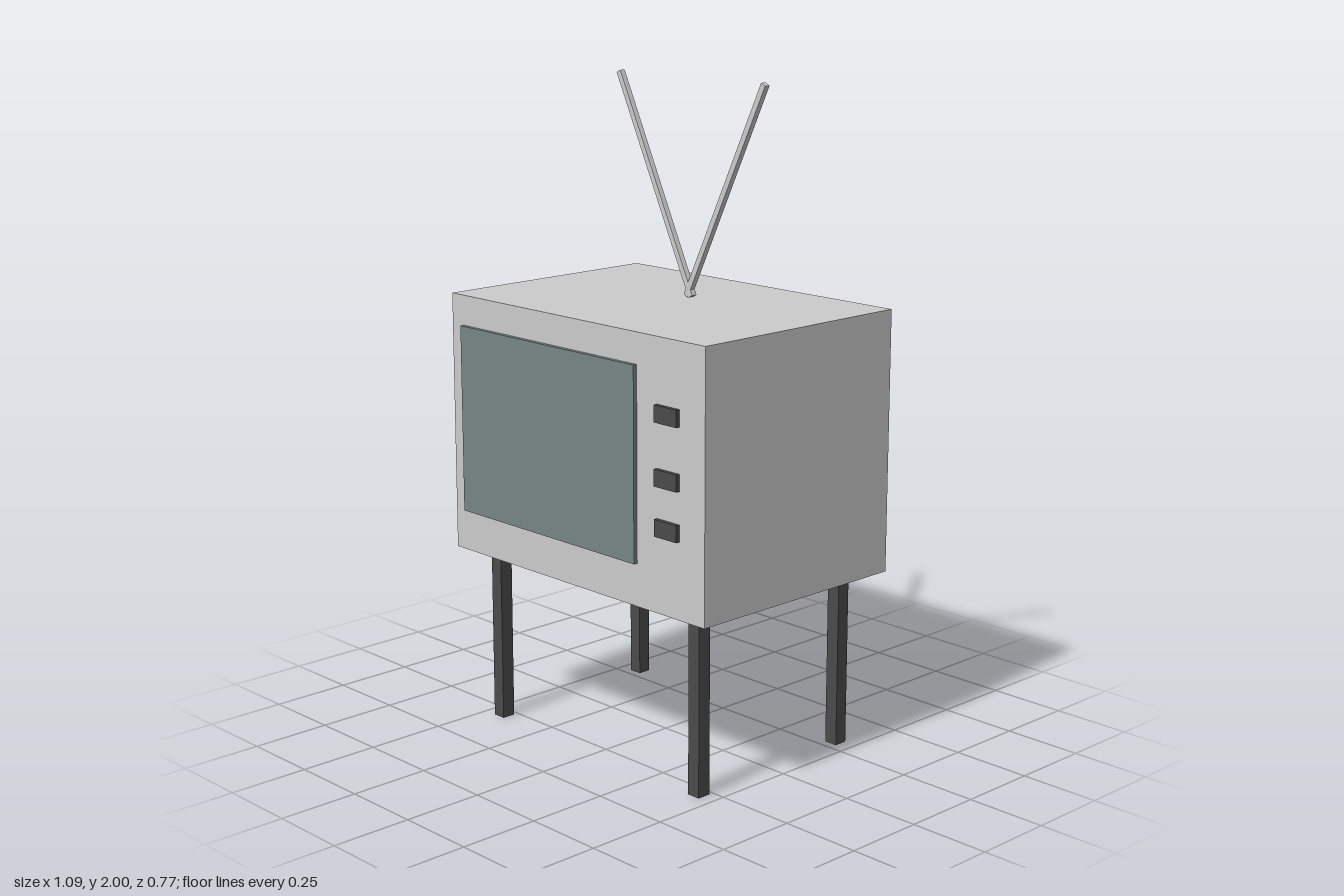
import * as THREE from 'three';

export function createModel() {
  const group = new THREE.Group();
  const grey = new THREE.MeshStandardMaterial({ color: 0xcccccc });
  const dark = new THREE.MeshStandardMaterial({ color: 0x4a4a4a });
  const glass = new THREE.MeshStandardMaterial({ color: 0x768582 });

  // Box given by its extents along each axis
  function box(name, material, [x0, x1], [y0, y1], [z0, z1]) {
    const mesh = new THREE.Mesh(new THREE.BoxGeometry(x1 - x0, y1 - y0, z1 - z0), material);
    mesh.position.set((x0 + x1) / 2, (y0 + y1) / 2, (z0 + z1) / 2);
    mesh.name = name;
    group.add(mesh);
    return mesh;
  }

  // Cabinet and screen
  const front = 0.372, face = 0.385;
  box('cabinet', grey, [-0.543, 0.543], [0.548, 1.345], [-0.388, front]);
  box('screen', glass, [-0.491, 0.272], [0.676, 1.253], [front - 0.01, face]);

  // Control knobs, unevenly spaced down the right of the screen
  for (const y of [1.129, 0.946, 0.801]) {
    box('knob', dark, [0.354, 0.443], [y - 0.025, y + 0.025], [front - 0.01, face]);
  }

  // Four square legs
  const half = 0.0215;
  for (const x of [-0.436, 0.436]) {
    for (const z of [-0.298, 0.286]) {
      box('leg', dark, [x - half, x + half], [0, 0.548], [z - half, z + half]);
    }
  }

  // Two antenna rods crossing just above the cabinet
  const foot = new THREE.Vector2(-0.01, 1.348), tip = new THREE.Vector2(0.302, 1.996);
  const length = foot.distanceTo(tip);
  const tilt = Math.atan2(tip.x - foot.x, tip.y - foot.y);
  for (const side of [-1, 1]) {
    const rod = box('antennaRod', grey, [-0.009, 0.009], [0, length], [-0.109, -0.091]);
    rod.position.set(side * (foot.x + tip.x) / 2, (foot.y + tip.y) / 2, -0.1);
    rod.rotation.z = -side * tilt;
  }

  return group;
}
